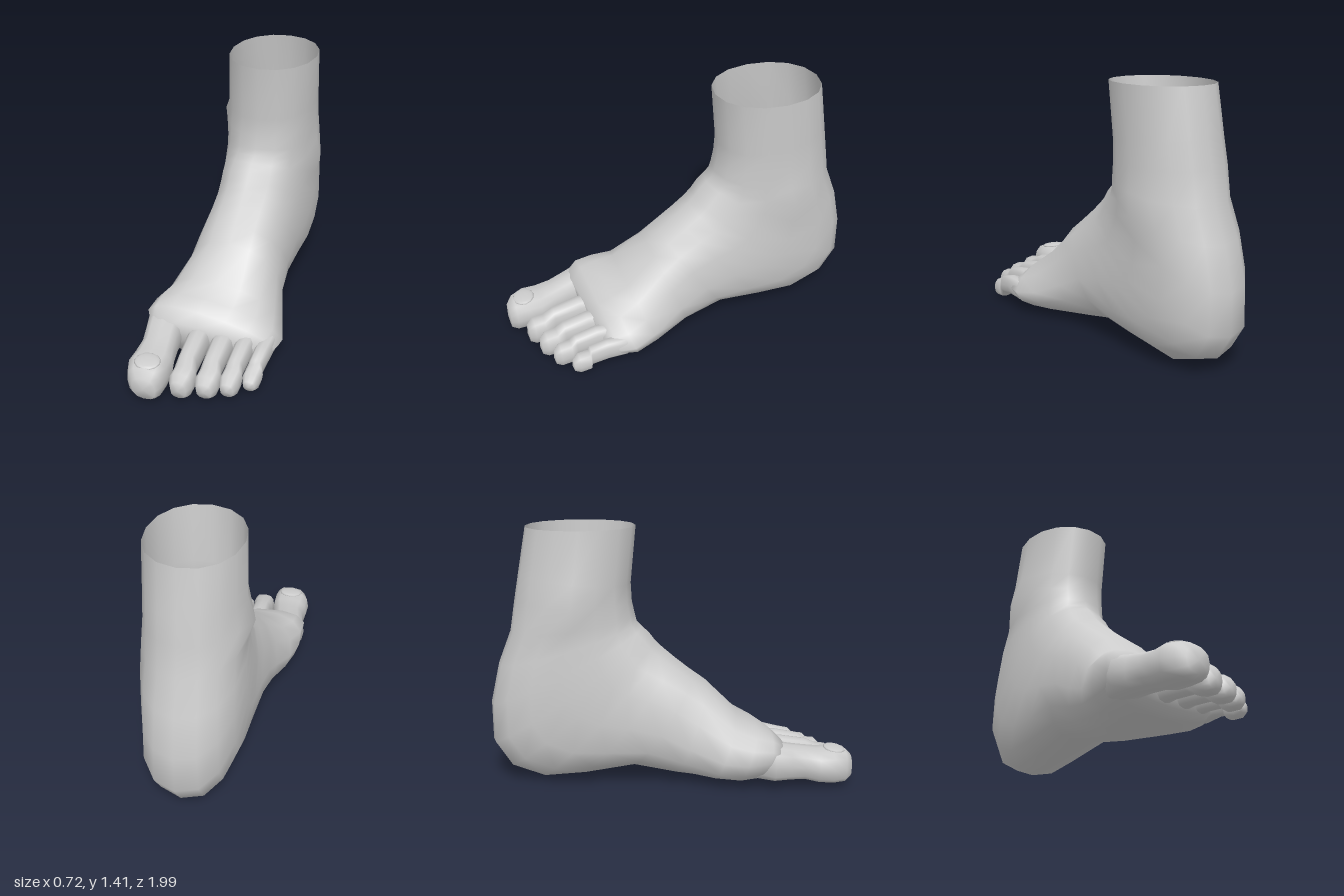
import * as THREE from 'three';

const skin = new THREE.MeshStandardMaterial({ color: 0xcccccc, side: THREE.DoubleSide });

// Skin a row of rounded sections. Each runs from a top/front point T [y, z] to a
// bottom/back point B [y, z] and spans x = l..r, widest at fraction m from T to B.
// peak shifts the crest in x, tilt lowers the +x side, skew pulls the +x side back.
function loft(sections, sides, tip, bumps = []) {
  const pos = [], index = [];
  const pow = (v, e) => Math.sign(v) * Math.abs(v) ** e;
  for (const { T, B, l, r, m = 0.5, peak = 0, tilt = 0, skew = 0, e = 0.85 } of sections) {
    for (let j = 0; j < sides; j++) {
      const a = (j / sides) * Math.PI * 2;
      const s = pow(Math.cos(a), e), c = pow(Math.sin(a), e);
      const f = s > 0 ? m * (1 - s) : m - (1 - m) * s;
      let x = (l + r) / 2 + (c * (r - l)) / 2 + peak * Math.max(0, s);
      const y = T[0] + (B[0] - T[0]) * f - tilt * x * (1 - f);
      const z = T[1] + (B[1] - T[1]) * f - skew * x;
      // Local sideways swellings such as the ankle bones
      for (const b of bumps) {
        if (x * b.push > 0) x += b.push * Math.exp(-(((y - b.y) / 0.1) ** 2) - ((z - b.z) / 0.11) ** 2);
      }
      pos.push(x, y, z);
    }
  }
  const rows = sections.length;
  for (let i = 0; i < rows - 1; i++) {
    for (let j = 0; j < sides; j++) {
      const a = i * sides + j, b = i * sides + ((j + 1) % sides);
      index.push(a, a + sides, b, b, a + sides, b + sides);
    }
  }
  // Close the far end
  pos.push(...tip);
  for (let j = 0; j < sides; j++) {
    index.push((rows - 1) * sides + j, rows * sides, (rows - 1) * sides + ((j + 1) % sides));
  }
  const g = new THREE.BufferGeometry();
  g.setAttribute('position', new THREE.Float32BufferAttribute(pos, 3));
  g.setIndex(index);
  g.computeVertexNormals();
  return g;
}

function add(parent, name, geometry) {
  const mesh = new THREE.Mesh(geometry, skin);
  mesh.name = name;
  parent.add(mesh);
  return mesh;
}

// Toe from rows of [z, centre x, half width, top y, bottom y]
function toe(parent, name, rows) {
  const sections = rows.map(([z, x, w, top, bottom]) => ({
    T: [top, z], B: [bottom, z], l: x - w, r: x + w, e: 0.74,
  }));
  const [z, x, , top, bottom] = rows[rows.length - 1];
  add(parent, name, loft(sections, 12, [x, (top + bottom) / 2, z + 0.008]));
}

export function createModel() {
  const foot = new THREE.Group();
  foot.name = 'foot';

  // Open-topped leg, fanning around the ankle crease into the heel, arch and ball
  const body = [
    { T: [1.41, -0.19], B: [1.41, -0.78], l: -0.235, r: 0.255, e: 0.95 },
    { T: [1.1, -0.22], B: [1.16, -0.825], l: -0.245, r: 0.25, e: 0.95 },
    { T: [1.0, -0.215], B: [1.02, -0.85], l: -0.255, r: 0.25, e: 0.95 },
    { T: [0.93, -0.2], B: [0.84, -0.88], l: -0.258, r: 0.25, e: 0.95 },
    { T: [0.89, -0.19], B: [0.66, -0.95], l: -0.268, r: 0.25, e: 0.92 },
    { T: [0.86, -0.16], B: [0.44, -1.0], l: -0.277, r: 0.248, e: 0.9 },
    { T: [0.82, -0.12], B: [0.22, -1.0], l: -0.28, r: 0.25 },
    { T: [0.78, -0.09], B: [0.08, -0.91], l: -0.28, r: 0.248 },
    { T: [0.74, -0.05], B: [0.012, -0.73], l: -0.275, r: 0.245 },
    { T: [0.68, 0.02], B: [0.03, -0.5], l: -0.275, r: 0.24 },
    { T: [0.6, 0.12], B: [0.08, -0.22], l: -0.28, r: 0.242, m: 0.55 },
    { T: [0.54, 0.2], B: [0.03, 0.02], l: -0.29, r: 0.26, m: 0.6, e: 0.9 },
    { T: [0.38, 0.36], B: [0.008, 0.22], l: -0.332, r: 0.32, m: 0.6, peak: -0.03, tilt: 0.05, e: 0.9 },
    { T: [0.325, 0.46], B: [0, 0.36], l: -0.36, r: 0.36, m: 0.56, peak: -0.06, tilt: 0.1, e: 0.9 },
    { T: [0.28, 0.53], B: [0.02, 0.48], l: -0.357, r: 0.345, m: 0.5, peak: -0.07, tilt: 0.14, skew: 0.05, e: 0.9 },
    { T: [0.225, 0.585], B: [0.05, 0.56], l: -0.31, r: 0.3, m: 0.5, peak: -0.05, tilt: 0.14, skew: 0.1 },
  ];
  const ankleBones = [
    { y: 1.02, z: -0.54, push: -0.047 },
    { y: 0.79, z: -0.59, push: 0.032 },
  ];
  add(foot, 'legAndSole', loft(body, 16, [-0.01, 0.14, 0.575], ankleBones));

  // Big toe
  toe(foot, 'bigToe', [
    [0.46, -0.25, 0.085, 0.28, 0.06],
    [0.55, -0.255, 0.105, 0.26, 0.05],
    [0.64, -0.24, 0.098, 0.238, 0.05],
    [0.72, -0.224, 0.096, 0.222, 0.045],
    [0.8, -0.216, 0.11, 0.208, 0.025],
    [0.88, -0.213, 0.113, 0.213, 0.018],
    [0.95, -0.2, 0.095, 0.2, 0.018],
    [0.985, -0.19, 0.065, 0.165, 0.04],
  ]);

  // Big toe nail, a shallow dome set into the tip
  const nail = add(foot, 'bigToeNail', new THREE.SphereGeometry(1, 12, 8));
  nail.scale.set(0.07, 0.014, 0.06);
  nail.position.set(-0.205, 0.203, 0.89);
  nail.rotation.x = 0.12;

  // Four small toes: [root x, tip x, half width, root z, tip z, knuckle height, tip height]
  const small = [
    [-0.05, -0.033, 0.063, 0.5, 0.92, 0.222, 0.162],
    [0.08, 0.09, 0.061, 0.49, 0.88, 0.212, 0.15],
    [0.195, 0.196, 0.052, 0.47, 0.83, 0.2, 0.14],
    [0.293, 0.287, 0.046, 0.44, 0.75, 0.178, 0.122],
  ];
  small.forEach(([x0, x1, w, z0, z1, knuckle, top], i) => {
    const xm = (x0 + x1) / 2;
    toe(foot, 'smallToe' + (i + 1), [
      [z0, x0, w * 0.9, knuckle, 0.06],
      [z0 + 0.11, x0, w * 0.92, knuckle, 0.065],
      [(z0 + z1) / 2 + 0.05, xm, w * 0.84, (knuckle + top) / 2 + 0.005, 0.05],
      [z1 - 0.1, x1, w, top + 0.004, 0.02],
      [z1 - 0.04, x1, w, top - 0.002, 0.014],
      [z1 - 0.008, x1, w * 0.68, top - 0.035, 0.03],
    ]);
  });

  return foot;
}
